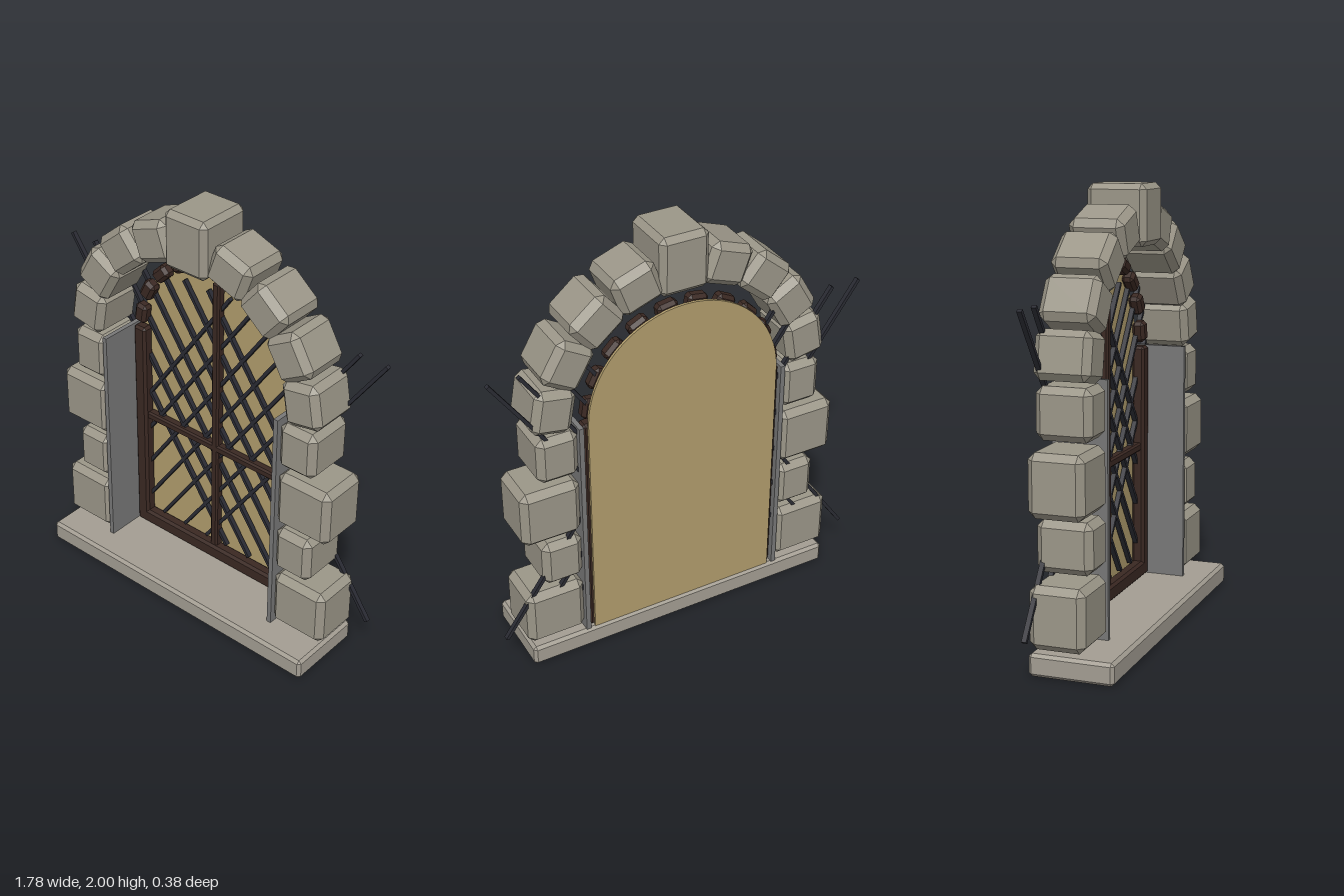
import * as THREE from 'three';
import { ConvexGeometry } from 'three/addons/geometries/ConvexGeometry.js';

const mat = (color) => new THREE.MeshStandardMaterial({ color });

// Box with flat chamfered edges and corners
function chamferBox(w, h, d, c) {
  const pts = [];
  for (const sx of [-1, 1]) for (const sy of [-1, 1]) for (const sz of [-1, 1]) {
    const x = w / 2, y = h / 2, z = d / 2;
    pts.push(
      new THREE.Vector3(sx * x, sy * (y - c), sz * (z - c)),
      new THREE.Vector3(sx * (x - c), sy * y, sz * (z - c)),
      new THREE.Vector3(sx * (x - c), sy * (y - c), sz * z));
  }
  return new ConvexGeometry(pts);
}

export function createModel() {
  const model = new THREE.Group();
  model.name = 'archedWindow';
  const stone = mat(0x9b9688), paleStone = mat(0xa39d92), wood = mat(0x3a2822);
  const iron = mat(0x2a2b33), glass = mat(0xb09c6c), lining = mat(0x777777);

  const add = (name, geometry, material, x, y, z, rot = 0) => {
    const mesh = new THREE.Mesh(geometry, material);
    mesh.name = name;
    mesh.position.set(x, y, z);
    mesh.rotation.z = rot;
    model.add(mesh);
    return mesh;
  };

  const springY = 1.22;   // height where the arch begins
  const stoneZ = -0.06, stoneDepth = 0.25;

  // Sill
  add('sill', chamferBox(1.54, 0.1, 0.38, 0.014), paleStone, 0, 0.05, 0);

  // Jamb stones, alternating long and short, with a thin lining inside
  const wide = chamferBox(0.28, 0.276, stoneDepth, 0.03);
  const narrow = chamferBox(0.192, 0.226, stoneDepth, 0.03);
  for (const s of [-1, 1]) {
    [0.257, 0.813].forEach((y) => add('wideJambStone', wide, stone, s * 0.643, y, stoneZ));
    [0.539, 1.096].forEach((y) => add('narrowJambStone', narrow, stone, s * 0.599, y, stoneZ));
    add('jambLining', new THREE.BoxGeometry(0.022, 1.12, stoneDepth), lining, s * 0.494, 0.66, stoneZ);
  }

  // Arch stones around the opening, with a larger keystone
  const archStone = chamferBox(0.19, 0.21, stoneDepth, 0.03);
  for (let i = 0; i < 9; i++) {
    if (i === 4) continue;
    const a = THREE.MathUtils.degToRad(10 + i * 20);
    add('archStone', archStone, stone, 0.617 * Math.cos(a), springY + 0.617 * Math.sin(a), stoneZ, a);
  }
  add('keystone', chamferBox(0.23, 0.27, 0.272, 0.025), stone, 0, 1.865, -0.05);

  // Arched pane
  const shape = new THREE.Shape();
  shape.moveTo(-0.46, 0.1);
  shape.lineTo(0.46, 0.1);
  shape.lineTo(0.46, springY);
  shape.absarc(0, springY, 0.46, 0, Math.PI, false);
  shape.closePath();
  add('pane', new THREE.ExtrudeGeometry(shape, { depth: 0.012, bevelEnabled: false, curveSegments: 16 }),
    glass, 0, 0, -0.182);

  // Wooden frame: posts, bottom rail, mullion and transom
  for (const s of [-1, 1]) {
    add('framePost', chamferBox(0.07, 1.115, 0.06, 0.012), wood, s * 0.446, 0.662, -0.14);
  }
  add('bottomRail', chamferBox(0.96, 0.075, 0.06, 0.012), wood, 0, 0.138, -0.14);
  add('mullion', chamferBox(0.04, 1.44, 0.045, 0.008), wood, 0, 0.885, -0.145);
  add('transom', chamferBox(0.83, 0.04, 0.045, 0.008), wood, 0, 0.74, -0.145);

  // Wooden blocks following the arch
  const block = chamferBox(0.065, 0.097, 0.06, 0.015);
  for (let i = 0; i < 10; i++) {
    const a = THREE.MathUtils.degToRad(9 + i * 18);
    add('archBlock', block, wood, 0.447 * Math.cos(a), springY + 0.447 * Math.sin(a), -0.14, a);
  }

  // Diagonal lattice bars, crossing both ways and running on through the wall
  const bar = new THREE.BoxGeometry(0.016, 1.65, 0.022);
  const lean = THREE.MathUtils.degToRad(35);
  for (const s of [-1, 1]) {
    for (let i = -3; i <= 3; i++) add('latticeBar', bar, iron, i * 0.137, 0.865, -0.152, s * lean);
  }

  return model;
}
